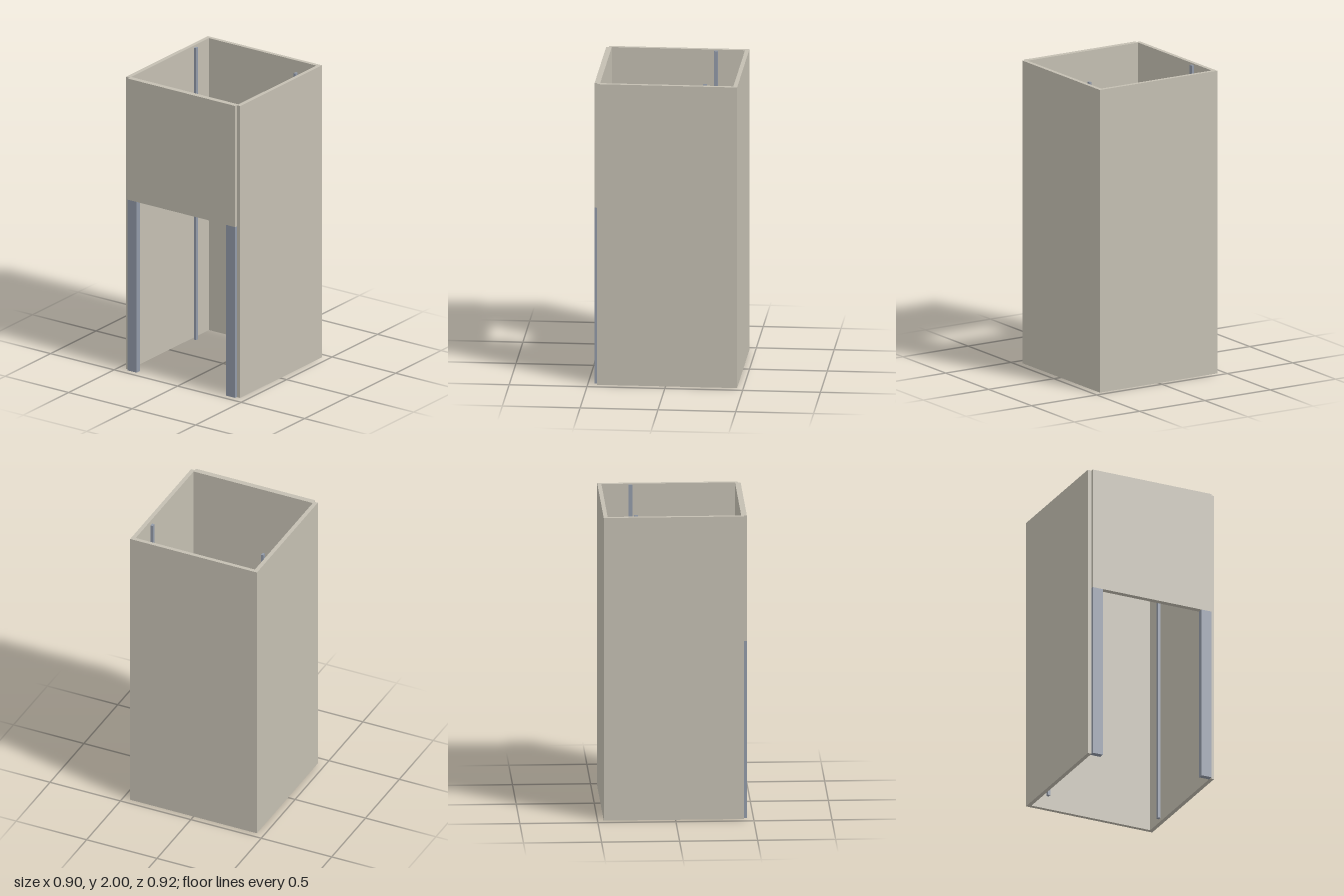
import * as THREE from 'three';

const shellMat = new THREE.MeshStandardMaterial({ color: 0xc4bfb2 });
const frameMat = new THREE.MeshStandardMaterial({ color: 0x929aa8 });

// Box given by its minimum and maximum corners
function block(name, mat, [x0, y0, z0], [x1, y1, z1]) {
  const mesh = new THREE.Mesh(new THREE.BoxGeometry(x1 - x0, y1 - y0, z1 - z0), mat);
  mesh.position.set((x0 + x1) / 2, (y0 + y1) / 2, (z0 + z1) / 2);
  mesh.name = name;
  return mesh;
}

export function createModel() {
  const group = new THREE.Group();
  group.name = 'openBooth';

  const height = 2, openingHeight = 1.17;
  const outer = 0.45, inner = 0.423;
  const back = -0.46, front = 0.458;

  // Back wall and the front panel above the opening
  group.add(block('backWall', shellMat, [-inner, 0, back], [inner, height, -0.434]));
  group.add(block('frontPanel', shellMat, [-inner, openingHeight, 0.422], [inner, height, front]));

  // Side walls, door posts and inner rails, mirrored left and right
  for (const [side, s] of [['left', 1], ['right', -1]]) {
    const pair = (part, mat, xa, xb, y1, z0, z1) => group.add(block(side + part, mat,
      [Math.min(s * xa, s * xb), 0, z0], [Math.max(s * xa, s * xb), y1, z1]));
    pair('SideWall', shellMat, inner, outer, height, back, 0.44);
    pair('DoorPost', frameMat, 0.352, inner, openingHeight, 0.422, front);
    pair('InnerRail', frameMat, 0.384, 0.4, height, -0.262, -0.238);
  }
  return group;
}
